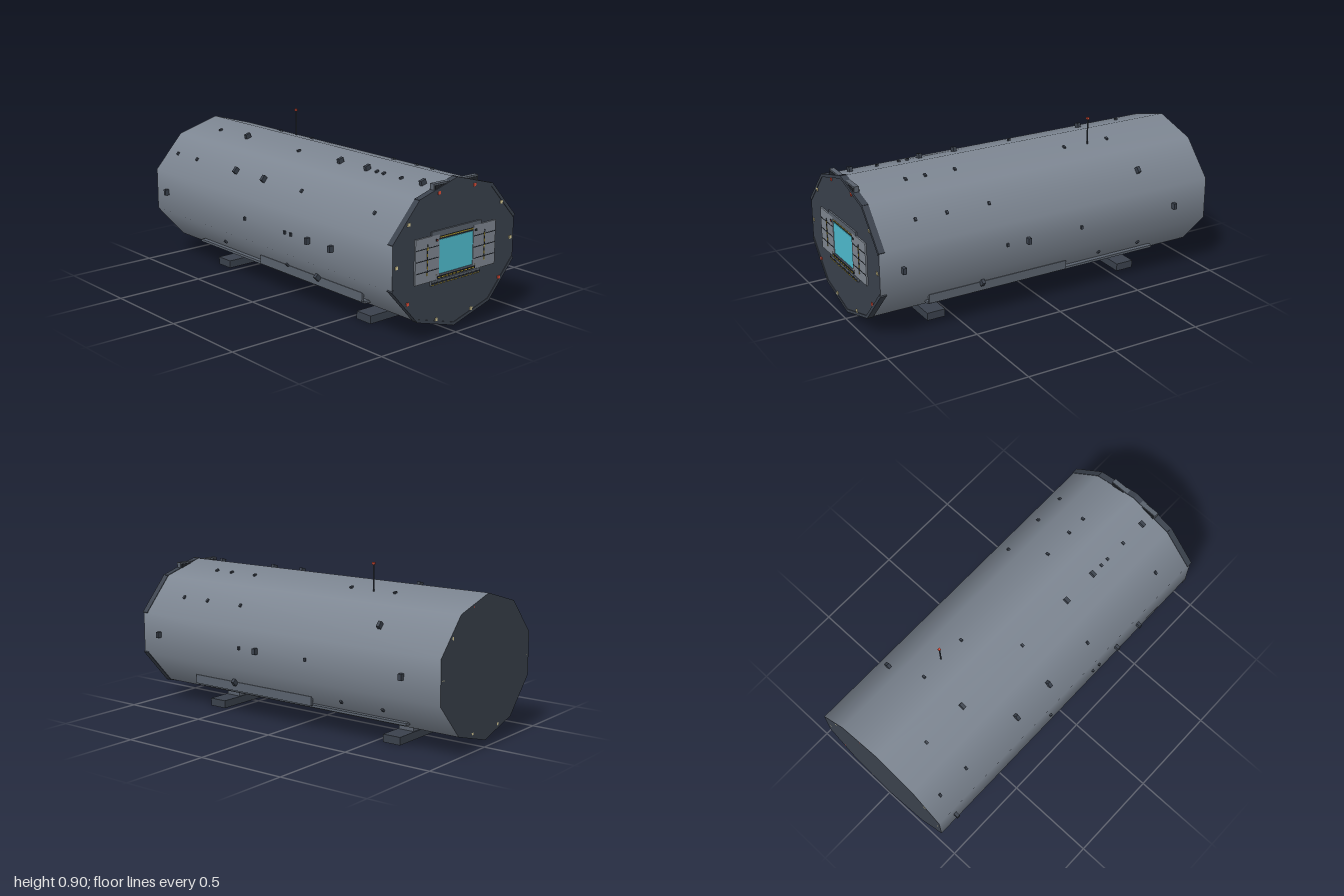
import * as THREE from 'three';

const mat = (color) => new THREE.MeshStandardMaterial({ color });
const M = {
  hull: mat(0x7d8692), dark: mat(0x3a414c), panel: mat(0x7f8791), trim: mat(0x59616c), black: mat(0x22262c),
  yellow: mat(0xc9b036), cyan: mat(0x4fbdd0), red: mat(0xe0503a), cream: mat(0xdccf9a), green: mat(0x2f5a3c),
};
const CX = -0.004, CY = 0.411;

// Corner k of the ten-sided section, relative to the hull axis
function corner(k) {
  const a = (k * Math.PI) / 5, s = Math.sin(a);
  return new THREE.Vector2(s * (Math.abs(s) > 0.9 ? 0.4416 : 0.425), Math.cos(a) * 0.375);
}

// Middle, outward angle and length of side k (0 is just right of the top)
function side(k) {
  const a = corner(k), b = corner(k + 1), d = b.clone().sub(a);
  return { mid: a.add(b).multiplyScalar(0.5), angle: Math.atan2(d.y, d.x), length: d.length() };
}

function box(parent, name, material, x0, x1, y0, y1, z0, z1) {
  const m = new THREE.Mesh(new THREE.BoxGeometry(x1 - x0, y1 - y0, z1 - z0), material);
  m.position.set((x0 + x1) / 2, (y0 + y1) / 2, (z0 + z1) / 2);
  m.name = name;
  parent.add(m);
  return m;
}

// Box standing on hull side k: w along the side, h outward, d along z
function onSide(parent, name, material, k, z, w, h, d, sink = 0.004) {
  const s = side(k);
  const m = new THREE.Mesh(new THREE.BoxGeometry(w, h, d), material);
  const r = h / 2 - sink;
  m.position.set(CX + s.mid.x - Math.sin(s.angle) * r, CY + s.mid.y + Math.cos(s.angle) * r, z);
  m.rotation.z = s.angle;
  m.name = name;
  parent.add(m);
}

function hull() {
  const g = new THREE.CylinderGeometry(1, 1, 1.985, 10).rotateX(-Math.PI / 2);
  const p = g.attributes.position;
  for (let i = 0; i < p.count; i++) {
    const x = p.getX(i);
    p.setXY(i, x * (Math.abs(x) > 0.9 ? 0.4416 : 0.425), p.getY(i) * 0.375);
  }
  const m = new THREE.Mesh(g, [M.hull, M.dark, M.dark]);
  m.position.set(CX, CY, -0.0075);
  m.name = 'hull';
  return m;
}

function hangar() {
  const g = new THREE.Group();
  g.name = 'hangar';
  box(g, 'opening', M.black, -0.122, 0.114, 0.3, 0.525, 0.98, 0.987);
  box(g, 'forceField', M.cyan, -0.122, 0.114, 0.325, 0.497, 0.98, 0.99);
  box(g, 'upperTrim', M.trim, -0.122, 0.114, 0.514, 0.525, 0.98, 0.992);
  box(g, 'upperStripe', M.yellow, -0.122, 0.114, 0.506, 0.51, 0.98, 0.99);
  box(g, 'threshold', M.trim, -0.122, 0.114, 0.316, 0.325, 0.98, 0.994);
  box(g, 'lintel', M.trim, -0.175, 0.166, 0.525, 0.545, 0.98, 0.994);
  box(g, 'sill', M.trim, -0.175, 0.166, 0.275, 0.299, 0.98, 0.996);
  box(g, 'sillGroove', M.black, -0.175, 0.166, 0.281, 0.289, 0.98, 0.997);
  // Sliding doors
  for (const [x0, x1, strip, lamp, lampMat] of [
    [-0.282, -0.122, -0.203, -0.14, M.red], [0.114, 0.273, 0.193, 0.131, M.green]]) {
    box(g, 'door', M.panel, x0, x1, 0.298, 0.525, 0.98, 0.993);
    for (const y of [0.354, 0.412, 0.47])
      box(g, 'doorSeam', M.black, x0 + 0.004, x1 - 0.004, y - 0.002, y + 0.002, 0.98, 0.9945);
    for (let i = 0; i < 10; i++)
      box(g, 'doorHazardMark', i % 2 ? M.black : M.yellow, strip - 0.002, strip + 0.002,
        0.333 + i * 0.0158, 0.349 + i * 0.0158, 0.98, 0.996);
    box(g, 'lampHousing', M.black, lamp - 0.006, lamp + 0.006, 0.494, 0.505, 0.98, 0.996);
    box(g, 'lamp', lampMat, lamp - 0.003, lamp + 0.003, 0.497, 0.502, 0.98, 0.998);
    box(g, 'guideLight', M.cream, lamp - 0.002, lamp + 0.002, 0.322, 0.326, 0.98, 0.996);
  }
  // Hazard dashes along the sill and threshold
  for (let i = 0; i < 13; i++) {
    const x = -0.172 + i * 0.0262;
    box(g, 'sillMark', M.yellow, x, x + 0.015, 0.276, 0.28, 0.98, 0.998);
  }
  box(g, 'deckLip', M.black, -0.135, 0.128, 0.305, 0.316, 0.98, 0.998);
  for (let i = 0; i < 10; i++) {
    const x = -0.133 + i * 0.0262;
    box(g, 'deckMark', M.yellow, x, x + 0.016, 0.308, 0.313, 0.98, 1);
  }
  return g;
}

export function createModel() {
  const model = new THREE.Group();
  model.name = 'station';
  model.add(hull(), hangar());

  // Rim plates round the front edge
  for (let k = 0; k < 10; k++)
    if (k !== 2 && k !== 7) onSide(model, 'rimPlate', M.dark, k, 0.971, side(k).length + 0.008, 0.016, 0.034, 0.013);

  // Flat hood above the front face
  box(model, 'hood', M.trim, -0.157, 0.146, 0.735, 0.776, 0.955, 0.981);
  box(model, 'hoodRecess', M.black, -0.15, 0.139, 0.735, 0.768, 0.95, 0.983);

  // Marker lights on both ends
  for (const z of [0.985, -0.997])
    for (let k = 0; k < 10; k++) {
      const a = ((k + 0.5) * Math.PI) / 5;
      const x = CX + Math.sin(a) * 0.396, y = CY + Math.cos(a) * 0.335;
      box(model, 'markerLight', [0, 3, 6, 9].includes(k) ? M.red : M.cream,
        x - 0.008, x + 0.008, y - 0.008, y + 0.008, z - 0.003, z + 0.004);
    }

  // Small fittings: hull side, then z positions; every larger one is negative-sized list
  const fittings = [
    [0, [-0.53, -0.255, 0.41, 0.58, 0.69], []],
    [1, [0.33, 0.57, 0.745], [-0.59]],
    [2, [-0.18, 0.27], [-0.78, 0.15, 0.86]],
    [3, [-0.35, -0.61], [0.375]],
    [6, [-0.45, 0.1], [0.35]],
    [7, [-0.155, 0.185, 0.235], [-0.89, 0.375, 0.555]],
    [8, [-0.9, -0.71, 0.22, 0.77], [-0.335, -0.09]],
    [9, [-0.77, -0.06, 0.555, 0.605, 0.73], [-0.51, 0.28, 0.485, 0.88]],
  ];
  for (const [k, small, large] of fittings) {
    for (const z of small) onSide(model, 'smallFitting', M.dark, k, z, 0.018, 0.014, 0.012);
    for (const z of large) onSide(model, 'largeFitting', M.dark, k, z, 0.033, 0.029, 0.018);
  }

  // Side rails and conduits
  for (const s of [-1, 1]) {
    const span = (a, b) => (s > 0 ? [CX + a, CX + b] : [CX - b, CX - a]);
    box(model, 'sideConduit', M.trim, ...span(0.314, 0.33), 0.143, 0.192, -0.145, 0.675);
    box(model, 'sideRail', M.trim, ...span(0.265, 0.308), 0.13, 0.143, -0.73, 0.675);
  }

  // Landing skids
  for (const z of [0.595, -0.597]) {
    box(model, 'skid', M.dark, -0.248, 0.238, 0, 0.042, z - 0.052, z + 0.052);
    box(model, 'skidPedestal', M.trim, -0.115, 0.106, 0.042, 0.09, z - 0.045, z + 0.045);
  }

  // Antenna
  const mast = new THREE.Mesh(new THREE.CylinderGeometry(0.004, 0.004, 0.16, 8), M.dark);
  mast.position.set(0.128, 0.81, -0.4);
  mast.name = 'antennaMast';
  model.add(mast);
  box(model, 'antennaLight', M.red, 0.122, 0.134, 0.888, 0.899, -0.406, -0.394);
  return model;
}
